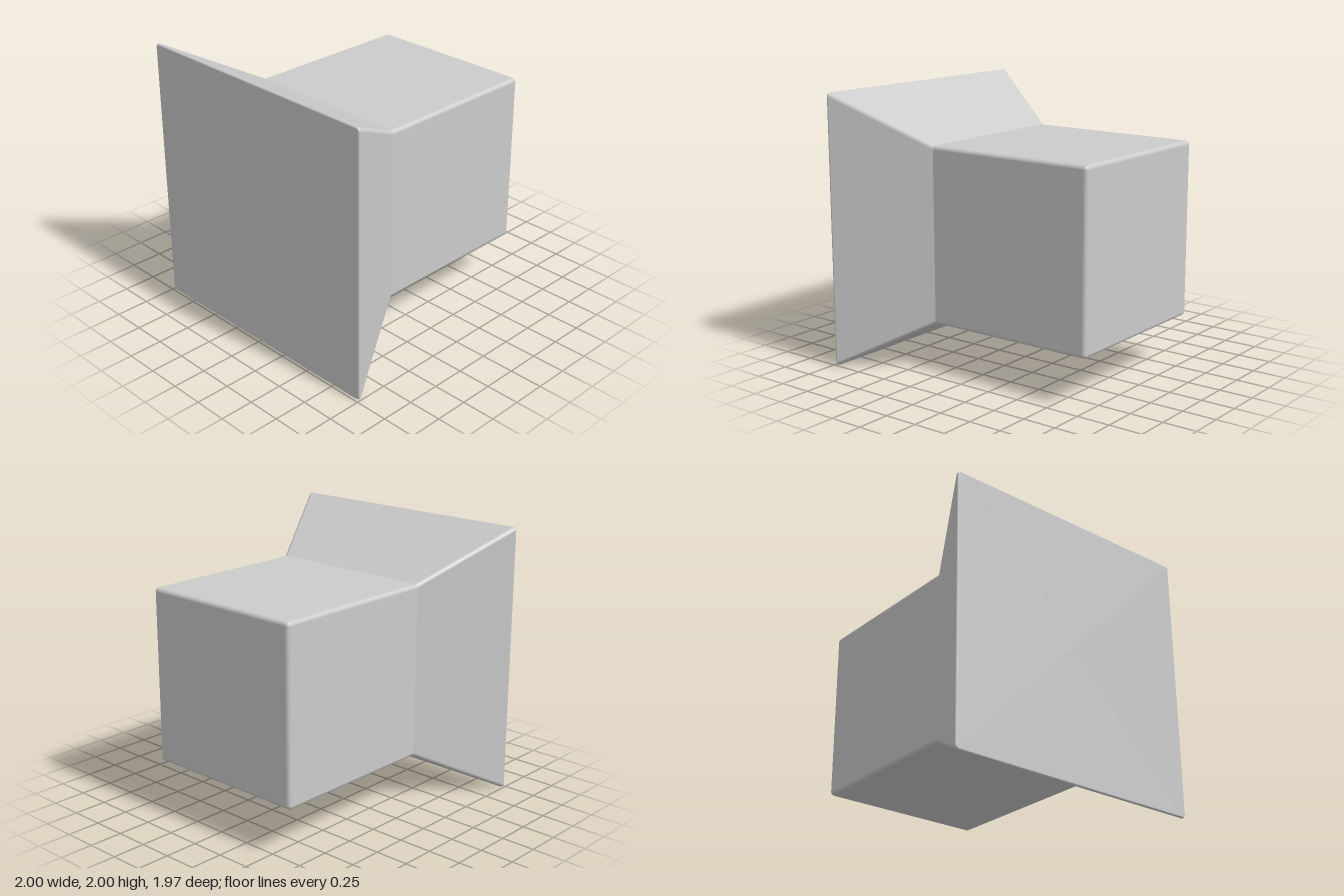
import * as THREE from 'three';

const CORNER_STEPS = 6;

// Rounded square outline of half-width h and corner radius r, with outward directions
function roundedSquare(h, r) {
  const points = [];
  for (let k = 0; k < 4; k++) {
    const mid = (k + 0.5) * Math.PI / 2;
    const cx = Math.sign(Math.cos(mid)) * (h - r);
    const cy = Math.sign(Math.sin(mid)) * (h - r);
    for (let s = 0; s <= CORNER_STEPS; s++) {
      const a = (k + s / CORNER_STEPS) * Math.PI / 2;
      const c = Math.cos(a), n = Math.sin(a);
      points.push({ x: cx + r * c, y: cy + r * n, c, n });
    }
  }
  return points;
}

// Skins rounded-square sections placed along z; each section is { h, r, z, nh, nz }
function loftSections(sections) {
  const position = [], normal = [], index = [];
  const count = 4 * (CORNER_STEPS + 1);
  sections.forEach(({ h, r, z, nh, nz }, i) => {
    for (const p of roundedSquare(h, r)) {
      position.push(p.x, p.y, z);
      normal.push(p.c * nh, p.n * nh, nz);
    }
    if (i === sections.length - 1) return;
    for (let j = 0; j < count; j++) {
      const k = (j + 1) % count;
      const a = i * count + j, b = i * count + k;
      index.push(a, b, b + count, a, b + count, a + count);
    }
  });
  const geometry = new THREE.BufferGeometry();
  geometry.setAttribute('position', new THREE.Float32BufferAttribute(position, 3));
  geometry.setAttribute('normal', new THREE.Float32BufferAttribute(normal, 3));
  geometry.setIndex(index);
  return geometry;
}

// Rounded edge: sections on an arc between two angles in the (h, z) plane
function edgeArc(h, z, radius, corner, from, to, steps = 6) {
  return Array.from({ length: steps + 1 }, (_, i) => {
    const a = from + (to - from) * i / steps;
    const nh = Math.cos(a), nz = Math.sin(a);
    return { h: h + radius * nh, r: corner + radius * nh, z: z + radius * nz, nh, nz };
  });
}

export function createModel() {
  const group = new THREE.Group();
  const material = new THREE.MeshStandardMaterial({ color: 0xcccccc });
  const addPart = (name, sections) => {
    const mesh = new THREE.Mesh(loftSections(sections), material);
    mesh.name = name;
    mesh.position.y = 1;
    group.add(mesh);
  };

  const half = 0.647, depth = 0.985, neckZ = 0.315;
  const round = 0.03, rim = 0.012;

  // Square block with a rounded closed back
  addPart('rearBlock', [
    { h: 0, r: 0, z: -depth, nh: 0, nz: -1 },
    ...edgeArc(half - round, -depth + round, round, 0, -Math.PI / 2, 0),
    { h: half, r: round, z: neckZ, nh: 1, nz: 0 },
  ]);

  // Flare widening to a flat square front with a thin rounded rim
  const slope = -Math.atan2(1 - half, depth - neckZ);
  addPart('frontFlare', [
    { h: half, r: round, z: neckZ, nh: Math.cos(slope), nz: Math.sin(slope) },
    ...edgeArc(1 - rim, depth - rim, rim, round - rim, slope, Math.PI / 2),
    { h: 0, r: 0, z: depth, nh: 0, nz: 1 },
  ]);

  return group;
}
